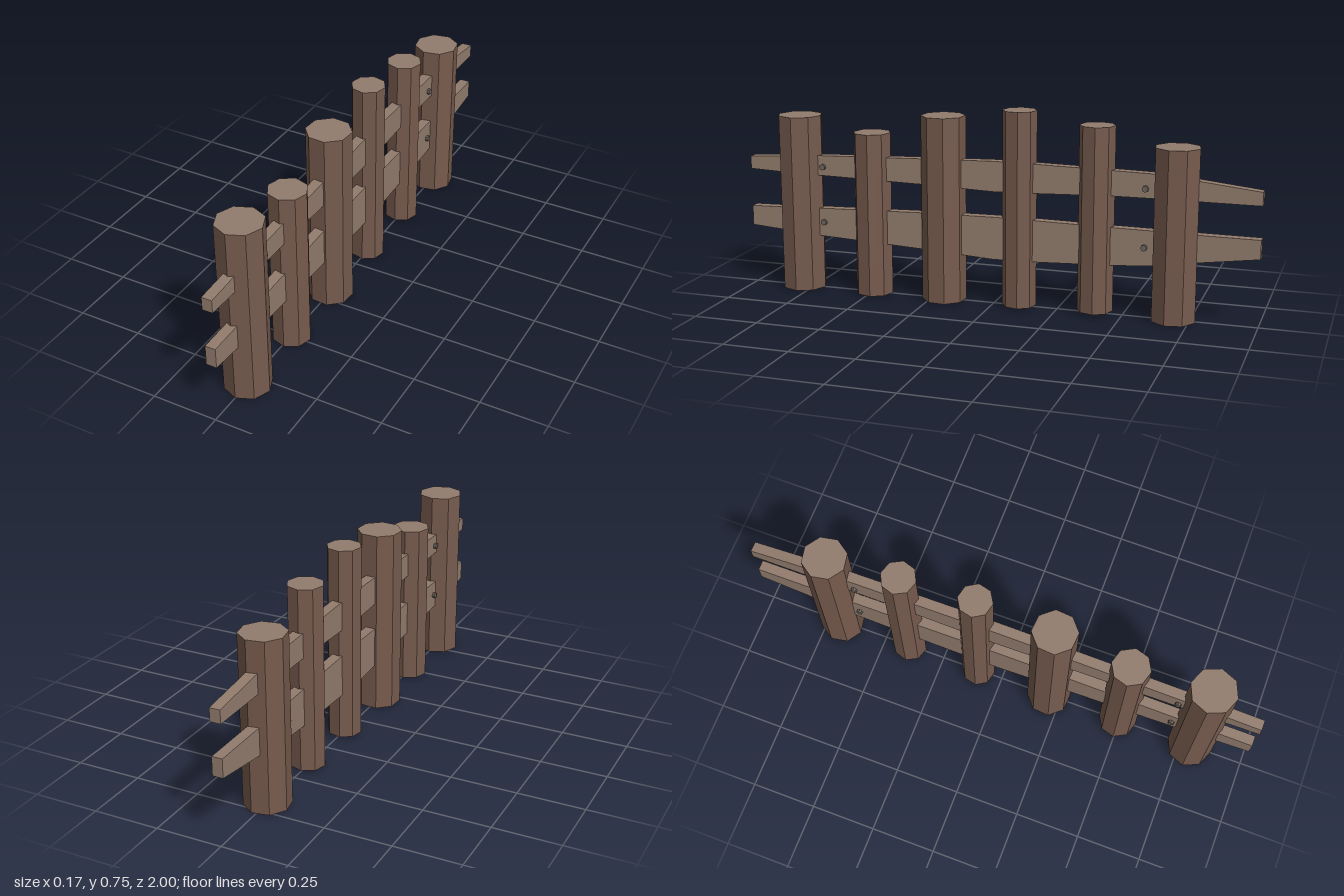
import * as THREE from 'three';

export function createModel() {
  const fence = new THREE.Group();
  fence.name = 'fence';
  const bark = new THREE.MeshStandardMaterial({ color: 0x775b4e });
  bark.name = 'brown bark';
  const wood = new THREE.MeshStandardMaterial({ color: 0x927c6d });
  wood.name = 'cut wood';
  const iron = new THREE.MeshStandardMaterial({ color: 0x6e645c });
  iron.name = 'dull iron';

  const add = (name, geometry, material) => {
    const flat = geometry.index ? geometry.toNonIndexed() : geometry;
    flat.computeVertexNormals(); // faceted shading
    const mesh = new THREE.Mesh(flat, material);
    mesh.name = name;
    fence.add(mesh);
    return mesh;
  };

  // Octagonal posts: z, radius, bottom, top, turn in degrees
  const posts = [
    [0.79, 0.087, 0, 0.688, 0],
    [0.49, 0.073, 0, 0.635, 6],
    [0.2, 0.085, 0, 0.715, 18],
    [-0.1, 0.065, 0.004, 0.75, 9],
    [-0.395, 0.067, 0.01, 0.71, 5],
    [-0.69, 0.086, 0, 0.646, -12],
  ];
  posts.forEach(([z, r, y0, y1, turn], i) => {
    const g = new THREE.CylinderGeometry(r, r, y1 - y0, 8, 1, false, THREE.MathUtils.degToRad(turn));
    add('post' + (i + 1), g, [bark, wood, wood]).position.set(0, (y0 + y1) / 2, z);
  });

  // Bowed rails: z, lower edge, upper edge
  const rails = {
    upperRail: [[1, 0.465, 0.515], [0.87, 0.46, 0.523], [0.7, 0.456, 0.534], [0.28, 0.448, 0.547], [0, 0.439, 0.555],
      [-0.16, 0.443, 0.554], [-0.45, 0.454, 0.549], [-0.6, 0.455, 0.546], [-0.77, 0.455, 0.53], [-1, 0.455, 0.505]],
    lowerRail: [[1, 0.237, 0.315], [0.87, 0.227, 0.318], [0.7, 0.214, 0.325], [0.28, 0.194, 0.337], [0, 0.177, 0.341],
      [-0.16, 0.18, 0.34], [-0.45, 0.192, 0.336], [-0.6, 0.202, 0.335], [-0.77, 0.228, 0.332], [-1, 0.26, 0.331]],
  };
  for (const [name, stations] of Object.entries(rails)) {
    const outline = [
      ...stations.map(([z, , top]) => new THREE.Vector2(z, top)),
      ...[...stations].reverse().map(([z, bottom]) => new THREE.Vector2(z, bottom)),
    ];
    const g = new THREE.ExtrudeGeometry(new THREE.Shape(outline), { depth: 0.04, bevelEnabled: false });
    g.translate(0, 0, -0.02).rotateY(-Math.PI / 2);
    add(name, g, wood);
  }

  // Nail heads on both faces of the rails
  for (const z of [0.69, -0.58]) {
    for (const y of [0.49, 0.27]) {
      for (const side of [1, -1]) {
        const g = new THREE.CylinderGeometry(0.012, 0.012, 0.014, 8).rotateZ(Math.PI / 2);
        add('nail', g, iron).position.set(side * 0.024, y, z);
      }
    }
  }
  return fence;
}
